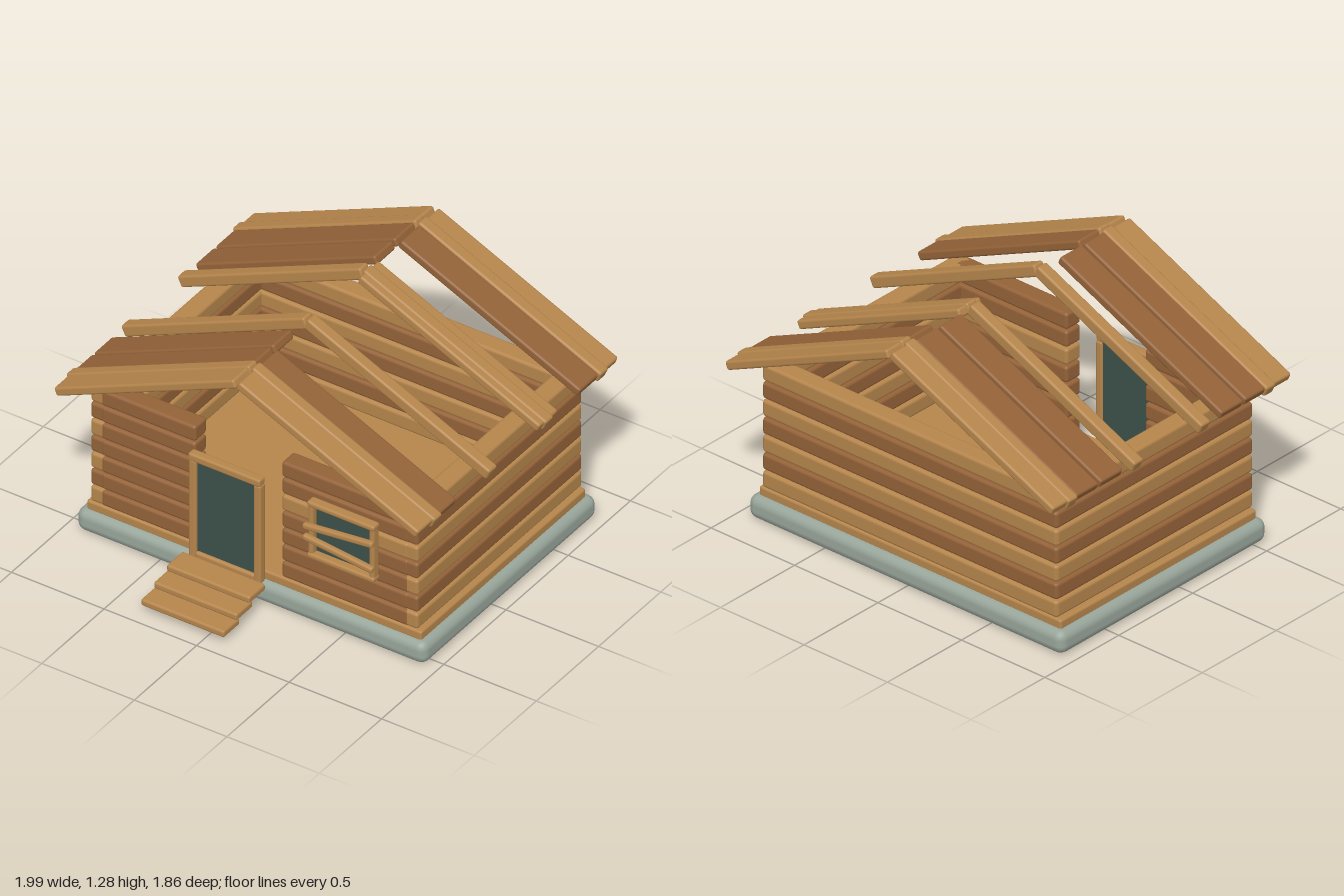
import * as THREE from 'three';
import { RoundedBoxGeometry } from 'three/addons/geometries/RoundedBoxGeometry.js';

const mat = (color) => new THREE.MeshStandardMaterial({ color });

export function createModel() {
  const model = new THREE.Group();
  const light = mat(0xb5854c), dark = mat(0x936238), stone = mat(0x98a59a), pane = mat(0x3c4f49);

  const group = (name) => {
    const g = new THREE.Group();
    g.name = name;
    model.add(g);
    return g;
  };

  // Rounded block given by its [min, max] range on each axis
  const block = (parent, name, [x0, x1], [y0, y1], [z0, z1], material, radius = 0.012) => {
    const size = [x1 - x0, y1 - y0, z1 - z0];
    const r = Math.min(radius, Math.min(...size) * 0.45);
    const mesh = new THREE.Mesh(new RoundedBoxGeometry(...size, 2, r), material);
    mesh.position.set((x0 + x1) / 2, (y0 + y1) / 2, (z0 + z1) / 2);
    mesh.name = name;
    parent.add(mesh);
    return mesh;
  };

  // Base
  block(model, 'foundation', [-0.945, 0.945], [0, 0.12], [-0.825, 0.575], stone, 0.045);
  block(model, 'floor', [-0.905, 0.905], [0.11, 0.162], [-0.785, 0.54], light);

  // Log walls: seven rows, the front one open around the door
  const walls = group('logWalls');
  for (let i = 0; i < 7; i++) {
    const y = [0.166 + i * 0.0925, 0.251 + i * 0.0925];
    const shade = i % 2 ? dark : light;
    for (const s of [-1, 1]) {
      const x = s < 0 ? [-0.885, -0.785] : [0.785, 0.885];
      block(walls, 'sideLog', x, y, [-0.786, 0.54], shade, 0.016);
    }
    block(walls, 'backLog', [-0.883, 0.883], y, [-0.79, -0.69], shade, 0.016);
    block(walls, 'frontLogRight', [-0.825, -0.315], y, [0.445, 0.543], dark, 0.016);
    block(walls, 'frontLogLeft', [0.15, 0.835], y, [0.445, 0.543], i === 4 ? light : dark, 0.016);
  }

  // Door with its frame
  const door = group('door');
  block(door, 'doorPanel', [-0.285, 0.035], [0.14, 0.665], [0.555, 0.575], pane, 0.004);
  block(door, 'doorPost', [-0.32, -0.28], [0.115, 0.66], [0.547, 0.592], light);
  block(door, 'doorPost', [0.03, 0.07], [0.115, 0.66], [0.547, 0.592], light);
  block(door, 'doorLintel', [-0.32, 0.07], [0.655, 0.697], [0.55, 0.598], light);
  block(door, 'doorSill', [-0.285, 0.035], [0.115, 0.157], [0.547, 0.592], light);

  // Boarded window
  const win = group('window');
  block(win, 'windowPane', [0.345, 0.66], [0.4, 0.67], [0.54, 0.56], pane, 0.004);
  for (const x of [0.325, 0.655]) {
    block(win, 'windowSide', [x, x + 0.028], [0.38, 0.685], [0.545, 0.592], light);
  }
  for (const y of [0.375, 0.66]) {
    block(win, 'windowRail', [0.322, 0.686], [y, y + 0.03], [0.545, 0.598], light);
  }
  for (const [y, tilt] of [[0.58, 0.11], [0.48, -0.11]]) {
    const board = block(win, 'windowBoard', [0.312, 0.692], [y - 0.016, y + 0.016], [0.59, 0.622], light);
    board.rotation.z = tilt;
  }

  // Three floating steps
  const steps = group('steps');
  for (let i = 0; i < 3; i++) {
    const y = 0.037 + i * 0.0325, z = 0.93 - i * 0.103;
    block(steps, 'step', [-0.35, 0.1], [y, y + 0.037], [z - 0.132, z], light);
  }

  // Gable roof: sloping members laid from ridge to eave, side -1 or +1
  const roof = group('roof');
  const pitch = Math.atan2(0.445, 0.99);
  const sloped = (name, side, z, length, thickness, width, material) => {
    const mesh = block(roof, name, [-length / 2, length / 2], [-thickness / 2, thickness / 2],
      [-width / 2, width / 2], material);
    mesh.position.set(side * 0.4925, 1.035, z);
    mesh.rotation.z = -side * pitch;
  };
  for (const side of [-1, 1]) {
    for (const z of [-0.8, -0.358, 0.095, 0.537]) {
      sloped('rafter', side, z, 1.085, 0.06, 0.065, light);
    }
    for (const [z, shade] of [[-0.85, light], [-0.693, dark], [0.45, dark], [0.608, light]]) {
      sloped('roofPlank', side, z, 1.065, 0.045, 0.154, shade);
    }
  }
  // Remaining middle planks
  sloped('roofPlank', -1, -0.528, 1.065, 0.045, 0.15, dark);
  sloped('roofPlank', -1, 0.287, 1.065, 0.045, 0.15, dark);
  sloped('roofPlank', 1, -0.366, 1.065, 0.045, 0.152, light);

  return model;
}
